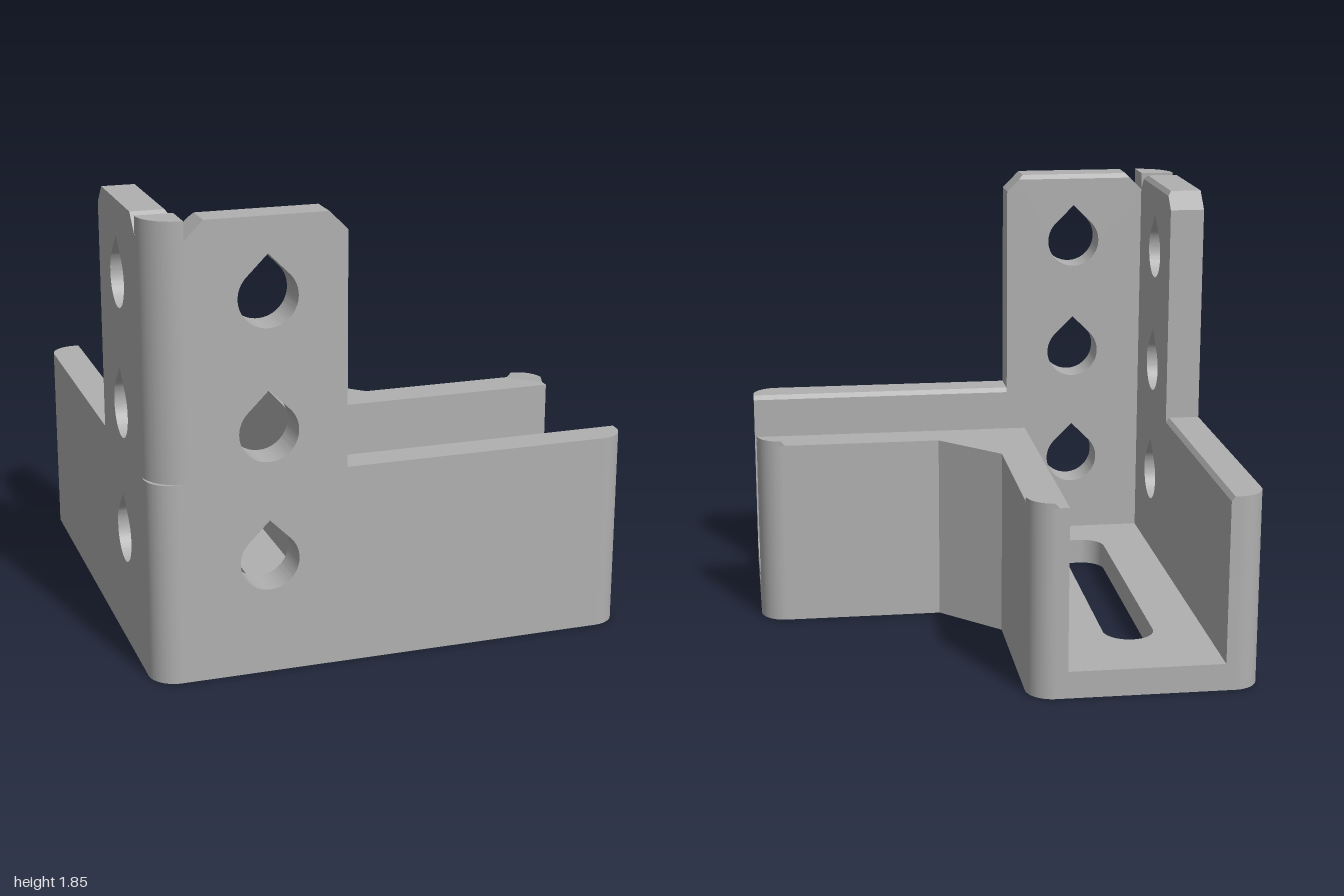
import * as THREE from 'three';
import { toCreasedNormals } from 'three/addons/utils/BufferGeometryUtils.js';

const TOP = 1.85, LOW = 0.825, INNER = 0.805, FLOOR = 0.115, R = 0.11;

// Extrudes a plan outline, drawn as (x, -z), from height y0 to y1
function slab(shape, y0, y1) {
  return new THREE.ExtrudeGeometry(shape, { depth: y1 - y0, bevelEnabled: false, curveSegments: 16 })
    .rotateX(-Math.PI / 2).translate(0, y0, 0);
}

// Moves every vertex by a rule
function move(geo, rule) {
  const p = geo.attributes.position, v = new THREE.Vector3();
  for (let i = 0; i < p.count; i++) {
    v.fromBufferAttribute(p, i);
    rule(v);
    p.setXYZ(i, v.x, v.y, v.z);
  }
  return geo;
}

// Mirrors across the diagonal between the two arms, keeping faces outward
function mirrored(geo) {
  const g = geo.clone(), p = g.attributes.position, q = geo.attributes.position;
  for (let i = 0; i < p.count; i += 3) {
    [0, 2, 1].forEach((k, j) => p.setXYZ(i + j, -q.getZ(i + k), q.getY(i + k), -q.getX(i + k)));
  }
  return g;
}

const outline = (pts) => new THREE.Shape(pts.map(([x, y]) => new THREE.Vector2(x, y)));
const near = (a, b) => Math.abs(a - b) < 1e-4;

// Round hole with a pointed top
function teardrop(cx, cy, r) {
  const h = new THREE.Path();
  h.absarc(cx, cy, r, Math.PI * 0.75, Math.PI * 2.25, false);
  h.lineTo(cx, cy + r * Math.SQRT2);
  h.closePath();
  return h;
}

// Outer wall with its tower, holes and chamfered inner top edge
function outerWall() {
  const s = outline([[-0.85, 0], [1 - R, 0], [1 - R, LOW], [-0.21, LOW], [-0.21, 1.775],
    [-0.285, TOP], [-0.775, TOP], [-0.85, 1.775]]);
  for (const y of [0.47, 1.0, 1.535]) s.holes.push(teardrop(-0.527, y, 0.12));
  const g = new THREE.ExtrudeGeometry(s, { depth: 0.15, steps: 2, bevelEnabled: false, curveSegments: 32 });
  return move(g, (v) => {
    if (near(v.z, 0.075)) v.z = 0.015;
    else if (near(v.z, 0)) {
      if (near(v.y, TOP)) { v.y -= 0.02; v.x += v.x > -0.5 ? 0.02 : -0.02; }
      else if (near(v.y, LOW) && v.x > -0.25) v.y -= 0.02;
    }
    v.z += 0.85;
  });
}

// Rounded free end of the outer wall
function wallEnd() {
  const s = new THREE.Shape();
  s.moveTo(1 - R, -0.865);
  s.lineTo(1 - R, -1);
  s.absarc(1 - R, -1 + R, R, -Math.PI / 2, 0, false);
  s.lineTo(1, -0.865);
  return slab(s, 0, LOW);
}

// Chamfered inner edge of the free end
function wallEndEdge() {
  const s = outline([[1 - R, -0.865], [1, -0.865], [1, -0.85], [1 - R, -0.85]]);
  return move(slab(s, 0, LOW), (v) => { if (near(v.z, 0.85) && v.y > 0.5) v.y -= 0.02; });
}

// Corner post section with a rounded outside edge
function corner(r, y0, y1) {
  const s = new THREE.Shape();
  s.moveTo(-0.85, -0.85);
  s.lineTo(-1, -0.85);
  s.lineTo(-1, -1 + r);
  s.absarc(-1 + r, -1 + r, r, Math.PI, Math.PI * 1.5, false);
  s.lineTo(-0.85, -1);
  return slab(s, y0, y1);
}

// Floor with an L-shaped slot
function floor() {
  const s = outline([[-0.85, 1], [-0.85, -0.85], [1, -0.85], [1, -0.2], [-0.2, -0.2], [-0.2, 1]]);
  const h = new THREE.Path(), r = 0.1075;
  h.moveTo(-0.635, -0.53);
  h.lineTo(-0.635, 0.577);
  h.absarc(-0.5275, 0.577, r, Math.PI, 0, true);
  h.lineTo(-0.42, -0.415);
  h.lineTo(0.572, -0.415);
  h.absarc(0.572, -0.5225, r, Math.PI / 2, -Math.PI / 2, true);
  h.lineTo(-0.535, -0.63);
  h.absarc(-0.535, -0.53, 0.1, -Math.PI / 2, -Math.PI, true);
  s.holes.push(h);
  return slab(s, 0, FLOOR);
}

// L-shaped inner wall with an angled elbow and rounded ends
function innerWall() {
  const s = new THREE.Shape();
  s.moveTo(-0.2, -0.2);
  s.lineTo(1, -0.2);
  s.lineTo(1, -0.04 - R);
  s.absarc(1 - R, -0.04 - R, R, 0, Math.PI / 2, false);
  s.lineTo(0.207, -0.04);
  s.lineTo(-0.04, 0.207);
  s.lineTo(-0.04, 1 - R);
  s.absarc(-0.04 - R, 1 - R, R, 0, Math.PI / 2, false);
  s.lineTo(-0.2, 1);
  return slab(s, 0, INNER);
}

// Small raised catch on the rounded end of the inner wall
function catchBump() {
  const s = new THREE.Shape();
  s.moveTo(0.88, -0.04);
  s.lineTo(1, -0.16);
  s.absarc(1 - R, -0.04 - R, R, 0.2, Math.PI / 2 - 0.2, false);
  return move(slab(s, INNER, LOW), (v) => {
    const onChord = near(v.x, 0.88) || near(v.z, 0.16);
    if (v.y > 0.815 && onChord) { v.x = Math.min(1, v.x + 0.02); v.z = Math.max(0.04, v.z - 0.02);
      if (near(v.z, 0.04)) v.x = 0.9; }
  });
}

export function createModel() {
  const model = new THREE.Group();
  model.name = 'cornerBracket';
  const grey = new THREE.MeshStandardMaterial({ color: 0xb0b0b0 });
  grey.name = 'plain grey';

  const add = (name, geo) => {
    const mesh = new THREE.Mesh(toCreasedNormals(geo, 0.5), grey);
    mesh.name = name;
    model.add(mesh);
  };
  const addPair = (name, geo) => {
    add('front' + name, geo);
    add('side' + name, mirrored(geo));
  };

  add('floor', floor());
  add('innerWall', innerWall());
  add('cornerBase', corner(R, 0, LOW));
  add('cornerPost', corner(0.149, LOW, TOP));
  addPair('Wall', outerWall());
  addPair('WallEnd', wallEnd());
  addPair('WallEndEdge', wallEndEdge());
  addPair('Catch', catchBump());
  return model;
}
